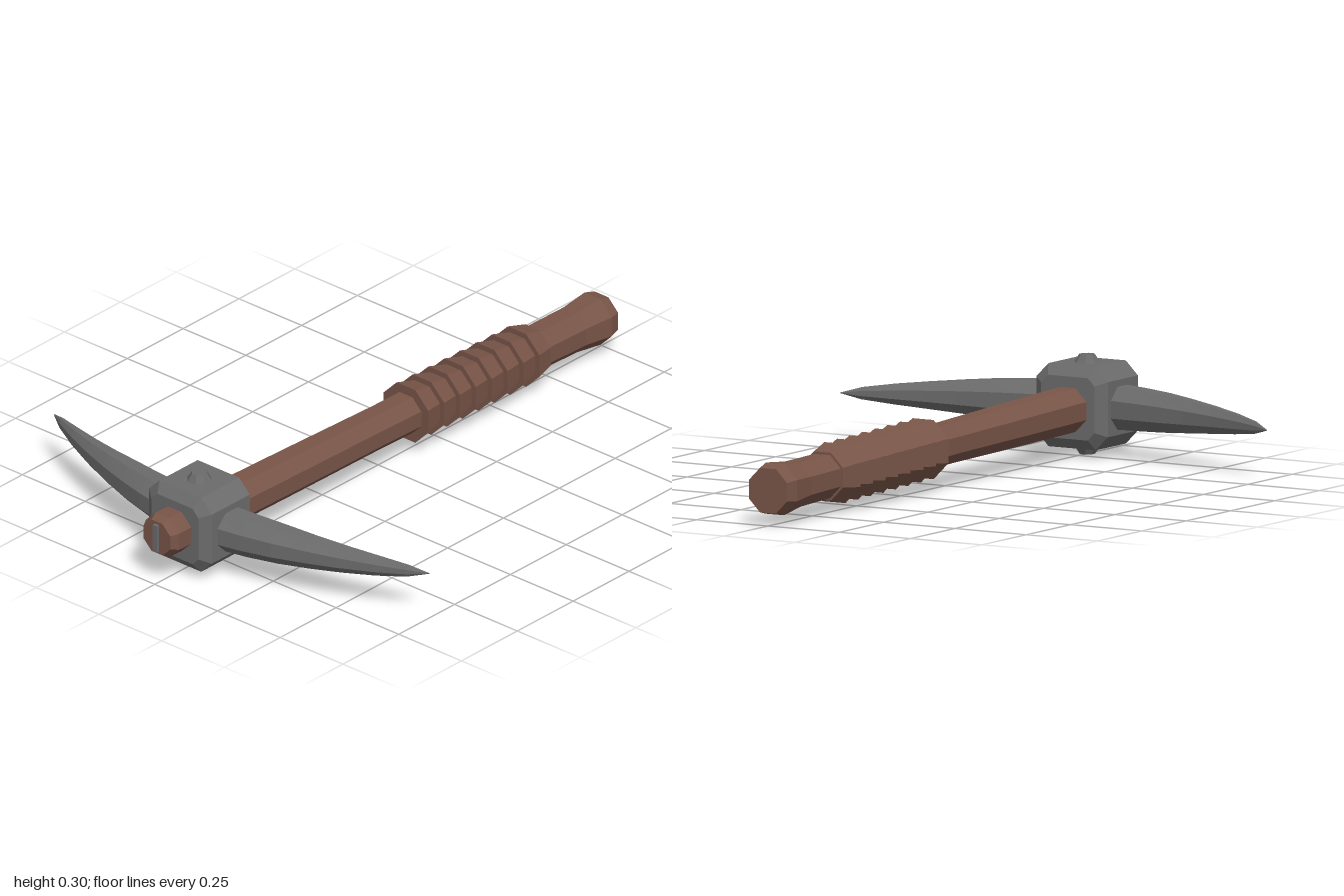
import * as THREE from 'three';

// Faceted solid through octagonal sections; each is [x, y, z, ry, rOther], listed in increasing order along the axis.
function loft(sections, axis) {
  const n = 8, pos = [], idx = [];
  for (const [x, y, z, ru, rv] of sections) {
    for (let i = 0; i < n; i++) {
      const a = ((i + 0.5) / n) * Math.PI * 2, k = 1 / Math.cos(Math.PI / n);
      const u = Math.cos(a) * ru * k, v = Math.sin(a) * rv * k;
      if (axis === 'z') pos.push(x + u, y + v, z);
      else pos.push(x, y + u, z + v);
    }
  }
  for (let s = 0; s < sections.length - 1; s++) {
    for (let i = 0; i < n; i++) {
      const a = s * n + i, b = s * n + ((i + 1) % n);
      idx.push(a, b, b + n, a, b + n, a + n);
    }
  }
  // End caps
  const last = (sections.length - 1) * n;
  for (let i = 1; i < n - 1; i++) {
    idx.push(0, i + 1, i);
    idx.push(last, last + i, last + i + 1);
  }
  const g = new THREE.BufferGeometry();
  g.setAttribute('position', new THREE.Float32BufferAttribute(pos, 3));
  g.setIndex(idx);
  const flat = g.toNonIndexed();
  flat.computeVertexNormals();
  return flat;
}

// Height of the gently sloping handle axis
const axisY = (z) => (z > 0.7 ? 0.15 + (z - 0.7) * 0.03 : 0.15 - (0.7 - z) * 0.0235);

export function createModel() {
  const group = new THREE.Group();
  const make = (name, color) => {
    const m = new THREE.MeshStandardMaterial({ color, flatShading: true });
    m.name = name;
    return m;
  };
  const wood = make('brown wood', 0x795548);
  const metal = make('grey metal', 0x6b6b6b);
  const add = (name, geometry, material, parent = group) => {
    const mesh = new THREE.Mesh(geometry, material);
    mesh.name = name;
    parent.add(mesh);
    return mesh;
  };

  // Handle with a chamfered front end and a flared pommel
  const handle = [
    [-1, 0.067], [-0.96, 0.077], [-0.86, 0.066], [-0.6, 0.064],
    [0, 0.06], [0.4, 0.064], [0.7, 0.066], [0.965, 0.066], [0.99, 0.053],
  ].map(([z, r]) => [0, axisY(z), z, r, r]);
  add('handle', loft(handle, 'z'), wood);

  // Grip of overlapping bands, each flaring toward the head
  const grip = new THREE.Group();
  grip.name = 'grip';
  group.add(grip);
  for (let i = 0; i < 8; i++) {
    const front = -0.125 - i * 0.071, back = front - 0.071;
    add('gripBand', loft([
      [0, axisY(back), back, 0.072, 0.072],
      [0, axisY(front), front, 0.089, 0.089],
    ], 'z'), wood, grip);
  }

  // Chamfered head block
  const h = 0.094, c = 0.024;
  const face = new THREE.Shape([
    [h, -h + c], [h, h - c], [h - c, h], [-h + c, h],
    [-h, h - c], [-h, -h + c], [-h + c, -h], [h - c, -h],
  ].map(([x, y]) => new THREE.Vector2(x, y)));
  const block = add('headBlock', new THREE.ExtrudeGeometry(face, {
    depth: 0.17, bevelEnabled: true, bevelThickness: 0.025, bevelSize: 0.031, bevelSegments: 1,
  }), metal);
  block.position.set(0, 0.155, 0.715);

  // Two curved, tapering spikes
  const spike = [
    [0.08, 0.803, 0.066, 0.066], [0.2, 0.785, 0.062, 0.06], [0.3, 0.765, 0.057, 0.053],
    [0.4, 0.741, 0.049, 0.043], [0.5, 0.712, 0.04, 0.033], [0.6, 0.677, 0.03, 0.023],
    [0.69, 0.64, 0.018, 0.012], [0.748, 0.611, 0.001, 0.001],
  ].map(([x, z, ry, rz]) => [x, 0, z, ry, rz]);
  const spikeGeometry = loft(spike, 'x');
  add('leftSpike', spikeGeometry, metal).position.y = 0.153;
  const right = add('rightSpike', spikeGeometry, metal);
  right.position.y = 0.153;
  right.rotation.z = Math.PI;

  // Rivets above and below the block
  const rivetGeometry = new THREE.CylinderGeometry(0.024, 0.041, 0.027, 8);
  rivetGeometry.rotateY(Math.PI / 8);
  add('topRivet', rivetGeometry, metal).position.set(0, 0.29, 0.8);
  const lower = add('bottomRivet', rivetGeometry, metal);
  lower.position.set(0, 0.0175, 0.8);
  lower.rotation.x = Math.PI;

  // Metal wedge set into the front end of the handle
  add('wedge', new THREE.BoxGeometry(0.016, 0.09, 0.04), metal).position.set(0, 0.158, 0.98);

  return group;
}
